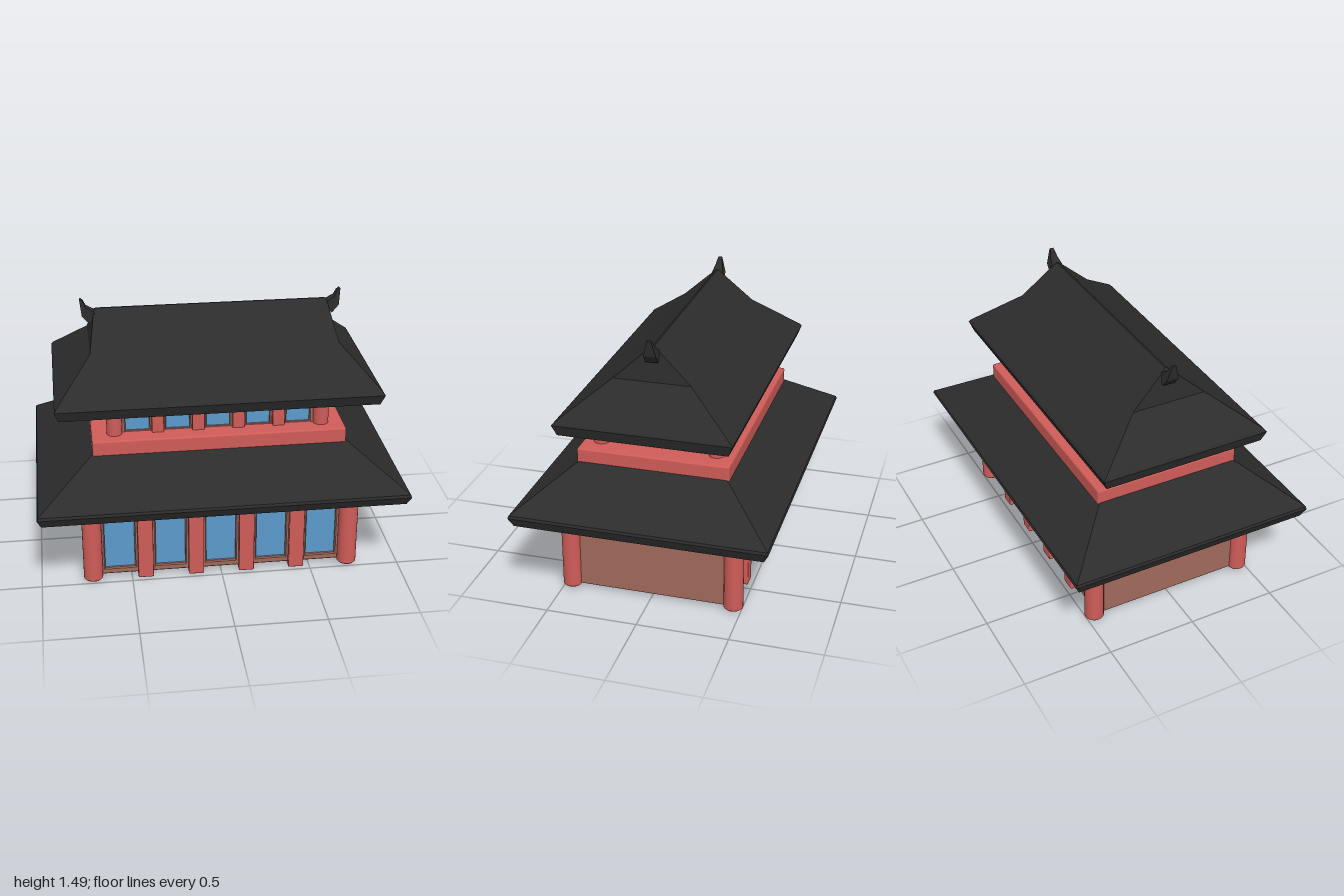
import * as THREE from 'three';
import { toCreasedNormals } from 'three/addons/utils/BufferGeometryUtils.js';
import { RoundedBoxGeometry } from 'three/addons/geometries/RoundedBoxGeometry.js';

const mat = (color, flatShading = false) => new THREE.MeshStandardMaterial({ color, flatShading });

export function createModel() {
  const root = new THREE.Group();
  const red = mat(0xcf5c58), brown = mat(0xa06a5b), blue = mat(0x5a9acb), dark = mat(0x2c2c2c, true);

  function add(parent, name, geometry, material, x = 0, y = 0, z = 0) {
    const mesh = new THREE.Mesh(geometry, material);
    mesh.name = name;
    mesh.position.set(x, y, z);
    parent.add(mesh);
    return mesh;
  }

  // Box given by its extents, slightly rounded
  function block(parent, name, material, w, y0, y1, d, x = 0, z = 0, r = 0.006) {
    return add(parent, name, new RoundedBoxGeometry(w, y1 - y0, d, 2, r), material, x, (y0 + y1) / 2, z);
  }

  // Round post with softened ends
  function column(r, y0, y1) {
    const b = 0.008;
    const profile = [[0, y0], [r - b, y0], [r, y0 + b], [r, y1 - b], [r - b, y1], [0, y1]]
      .map(([x, y]) => new THREE.Vector2(x, y));
    return toCreasedNormals(new THREE.LatheGeometry(profile, 24), 0.6);
  }

  // Surface through rectangular rings [half width, y, half depth], closed at both ends
  function hipped(rings) {
    const corner = ([x, y, z], i) => [[x, y, z], [x, y, -z], [-x, y, -z], [-x, y, z]][i % 4];
    const pos = [];
    const quad = (a, b, c, d) => pos.push(...a, ...b, ...c, ...a, ...c, ...d);
    for (let k = 0; k < rings.length - 1; k++)
      for (let i = 0; i < 4; i++)
        quad(corner(rings[k], i), corner(rings[k], i + 1), corner(rings[k + 1], i + 1), corner(rings[k + 1], i));
    const first = rings[0], last = rings[rings.length - 1];
    quad(...[3, 2, 1, 0].map(i => corner(first, i)));
    quad(...[0, 1, 2, 3].map(i => corner(last, i)));
    const g = new THREE.BufferGeometry();
    g.setAttribute('position', new THREE.Float32BufferAttribute(pos, 3));
    g.computeVertexNormals();
    return g;
  }

  const rectPath = (P, x0, y0, x1, y1) => {
    const p = new P();
    p.moveTo(x0, y0);
    p.lineTo(x1, y0);
    p.lineTo(x1, y1);
    p.lineTo(x0, y1);
    p.closePath();
    return p;
  };

  // One storey: core, corner columns, and windowed long walls between pilasters
  function storey(o) {
    const g = new THREE.Group();
    g.name = o.name;
    root.add(g);
    const core = o.wallZ - 0.03;
    block(g, 'walls', brown, o.halfX * 2, o.y0, o.y1, core * 2);
    for (const sx of [-1, 1]) for (const sz of [-1, 1])
      add(g, 'cornerColumn', column(o.r, o.colY, o.y1), red, sx * o.colX, 0, sz * o.colZ);

    const shape = rectPath(THREE.Shape, -o.halfX, o.y0, o.halfX, o.y1);
    for (let i = -2; i <= 2; i++) {
      const c = i * o.pitch, h = o.winW / 2;
      shape.holes.push(rectPath(THREE.Path, c - h, o.win[0], c + h, o.win[1]));
    }
    const frame = new THREE.ExtrudeGeometry(shape, {
      depth: 0.024, bevelThickness: 0.006, bevelSize: 0.006, bevelOffset: -0.006, bevelSegments: 1
    });
    for (const s of [1, -1]) {
      const side = new THREE.Group();
      side.name = s > 0 ? 'frontWall' : 'backWall';
      side.rotation.y = s > 0 ? 0 : Math.PI;
      g.add(side);
      add(side, 'windowFrames', frame, brown, 0, 0, core);
      for (let i = -2; i <= 2; i++)
        add(side, 'windowPane', new THREE.BoxGeometry(o.winW + 0.02, o.win[1] - o.win[0] + 0.02, 0.02),
          blue, i * o.pitch, (o.win[0] + o.win[1]) / 2, core + 0.002);
      for (let i = -1.5; i <= 1.5; i++)
        block(side, 'pilaster', red, o.pilW, o.pilY, o.y1, 0.08, i * o.pitch, o.pilZ - 0.04);
    }
  }

  storey({
    name: 'lowerStorey', halfX: 0.725, wallZ: 0.445, y0: 0.02, y1: 0.57, colX: 0.715, colZ: 0.455, r: 0.053,
    colY: 0.01, pitch: 0.282, winW: 0.165, win: [0.057, 0.45], pilW: 0.085, pilY: 0, pilZ: 0.475
  });
  storey({
    name: 'upperStorey', halfX: 0.57, wallZ: 0.31, y0: 0.8, y1: 1.03, colX: 0.565, colZ: 0.317, r: 0.042,
    colY: 0.8, pitch: 0.22, winW: 0.128, win: [0.833, 0.945], pilW: 0.065, pilY: 0.8, pilZ: 0.335
  });

  // Roofs with a raised soffit inside the eave rim
  add(root, 'lowerRoof', hipped([
    [0.76, 0.53, 0.48], [0.95, 0.485, 0.64], [0.98, 0.48, 0.67], [1, 0.53, 0.695],
    [0.995, 0.545, 0.69], [0.7, 0.748, 0.415], [0.68, 0.76, 0.38]
  ]), dark);
  add(root, 'upperRoof', hipped([
    [0.66, 1.0, 0.37], [0.83, 0.985, 0.43], [0.86, 0.98, 0.452], [0.88, 1.04, 0.475],
    [0.87, 1.055, 0.462], [0.675, 1.25, 0.208], [0.642, 1.415, 0.025], [0.63, 1.433, 0.004]
  ]), dark);

  // Balcony band standing on the lower roof
  block(root, 'balcony', red, 1.38, 0.735, 0.83, 0.83, 0, 0, 0.01);

  // Eave beams with a shallow pointed underside
  function eaveBeam(name, halfX, halfZ, bottom, edge, top) {
    const s = new THREE.Shape([[-halfZ, edge], [0, bottom], [halfZ, edge], [halfZ, top], [-halfZ, top]]
      .map(p => new THREE.Vector2(...p)));
    const geo = new THREE.ExtrudeGeometry(s, { depth: halfX * 2, bevelEnabled: false });
    geo.translate(0, 0, -halfX);
    add(root, name, geo, red).rotation.y = Math.PI / 2;
  }
  eaveBeam('upperEaveBeam', 0.63, 0.36, 0.942, 0.978, 1.02);
  eaveBeam('lowerEaveBeam', 0.775, 0.49, 0.485, 0.52, 0.56);

  // Ridge horns, thinning toward the tip
  const horn = new THREE.Shape([
    [0.62, 1.39], [0.645, 1.37], [0.668, 1.355], [0.705, 1.40], [0.715, 1.485],
    [0.708, 1.49], [0.695, 1.475], [0.682, 1.445], [0.64, 1.418]
  ].map(p => new THREE.Vector2(...p)));
  const hornGeo = new THREE.ExtrudeGeometry(horn, { depth: 2, bevelEnabled: false });
  hornGeo.translate(0, 0, -1);
  const p = hornGeo.attributes.position;
  for (let i = 0; i < p.count; i++) {
    const t = THREE.MathUtils.clamp((p.getY(i) - 1.4) / 0.09, 0, 1);
    p.setZ(i, p.getZ(i) * THREE.MathUtils.lerp(0.034, 0.01, t));
  }
  hornGeo.computeVertexNormals();
  add(root, 'leftRidgeHorn', hornGeo, dark);
  add(root, 'rightRidgeHorn', hornGeo, dark).rotation.y = Math.PI;

  return root;
}
